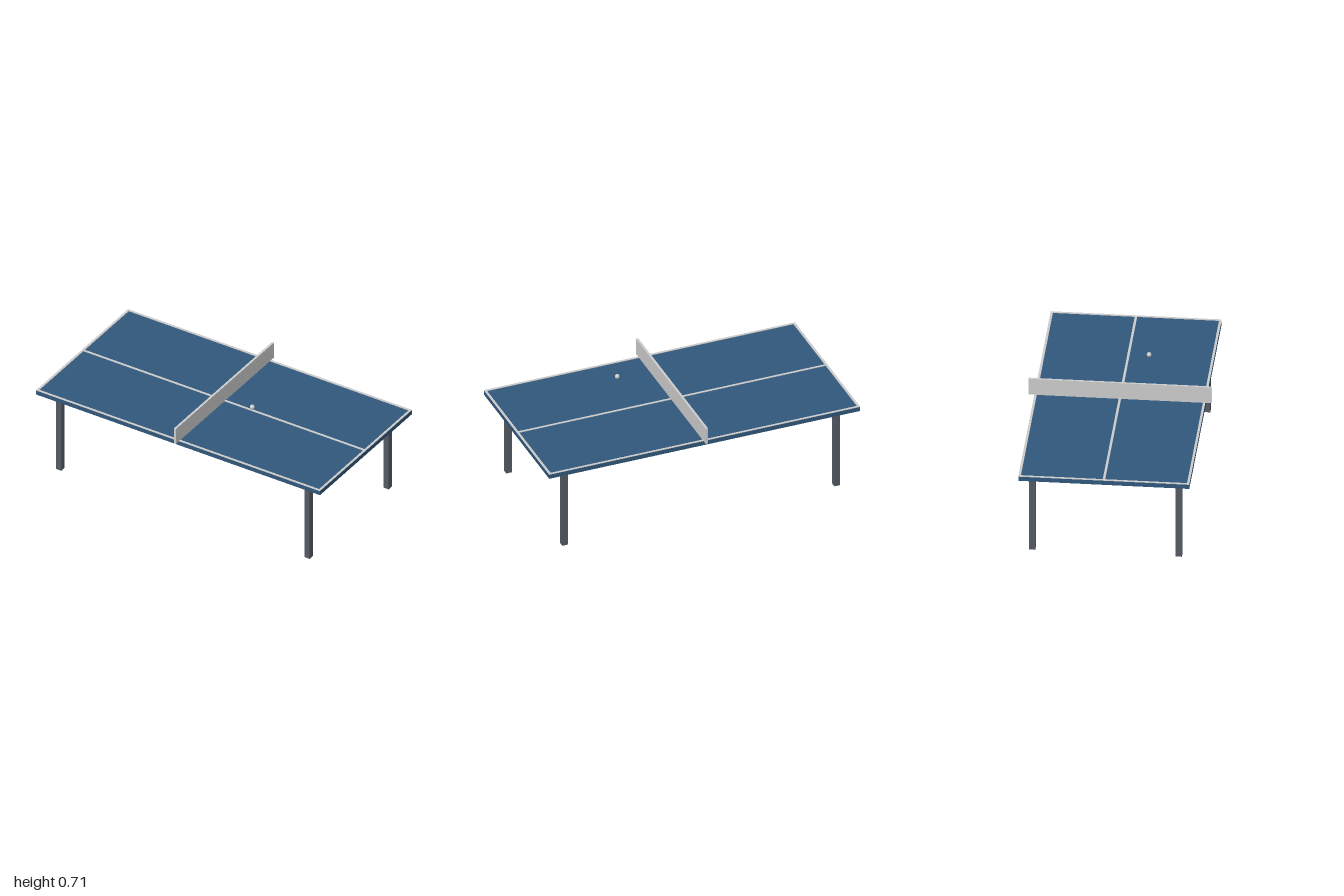
import * as THREE from 'three';

const mat = (name, color) => {
  const m = new THREE.MeshStandardMaterial({ color });
  m.name = name;
  return m;
};

export function createModel() {
  const blue = mat('table blue', 0x30587c);
  const white = mat('off white', 0xcccccc);
  const steel = mat('leg grey', 0x555a64);

  const model = new THREE.Group();
  model.name = 'tableTennisTable';

  const add = (name, geometry, material, x, y, z) => {
    const mesh = new THREE.Mesh(geometry, material);
    mesh.name = name;
    mesh.position.set(x, y, z);
    model.add(mesh);
  };
  const box = (name, w, h, d, material, x, y, z) =>
    add(name, new THREE.BoxGeometry(w, h, d), material, x, y, z);

  const halfWidth = 0.511, top = 0.555, thick = 0.028;
  const line = 0.0146, paint = 0.003;

  // Playing surface
  box('tableTop', 2, thick, halfWidth * 2, blue, 0, top - thick / 2, 0);

  // Painted lines: sides, ends and centre
  const lineY = top + paint / 2;
  for (const s of [-1, 1]) {
    box('sideLine', 2, paint, line, white, 0, lineY, s * (halfWidth - line / 2));
    box('endLine', line, paint, (halfWidth - line) * 2, white, s * (1 - line / 2), lineY, 0);
  }
  box('centreLine', 2 - line * 2, paint, line, white, 0, lineY, 0);

  // Net, overhanging both sides of the table
  box('net', 0.0146, 0.107, 1.092, white, 0, 0.6085, 0);

  // Four square legs
  const legHeight = top - thick;
  for (const x of [-0.875, 0.875])
    for (const z of [-0.438, 0.438])
      box('leg', 0.0365, legHeight, 0.0365, steel, x, legHeight / 2, z);

  // Ball in flight
  add('ball', new THREE.SphereGeometry(0.0146, 24, 16), white, 0.292, 0.697, 0.146);

  return model;
}
